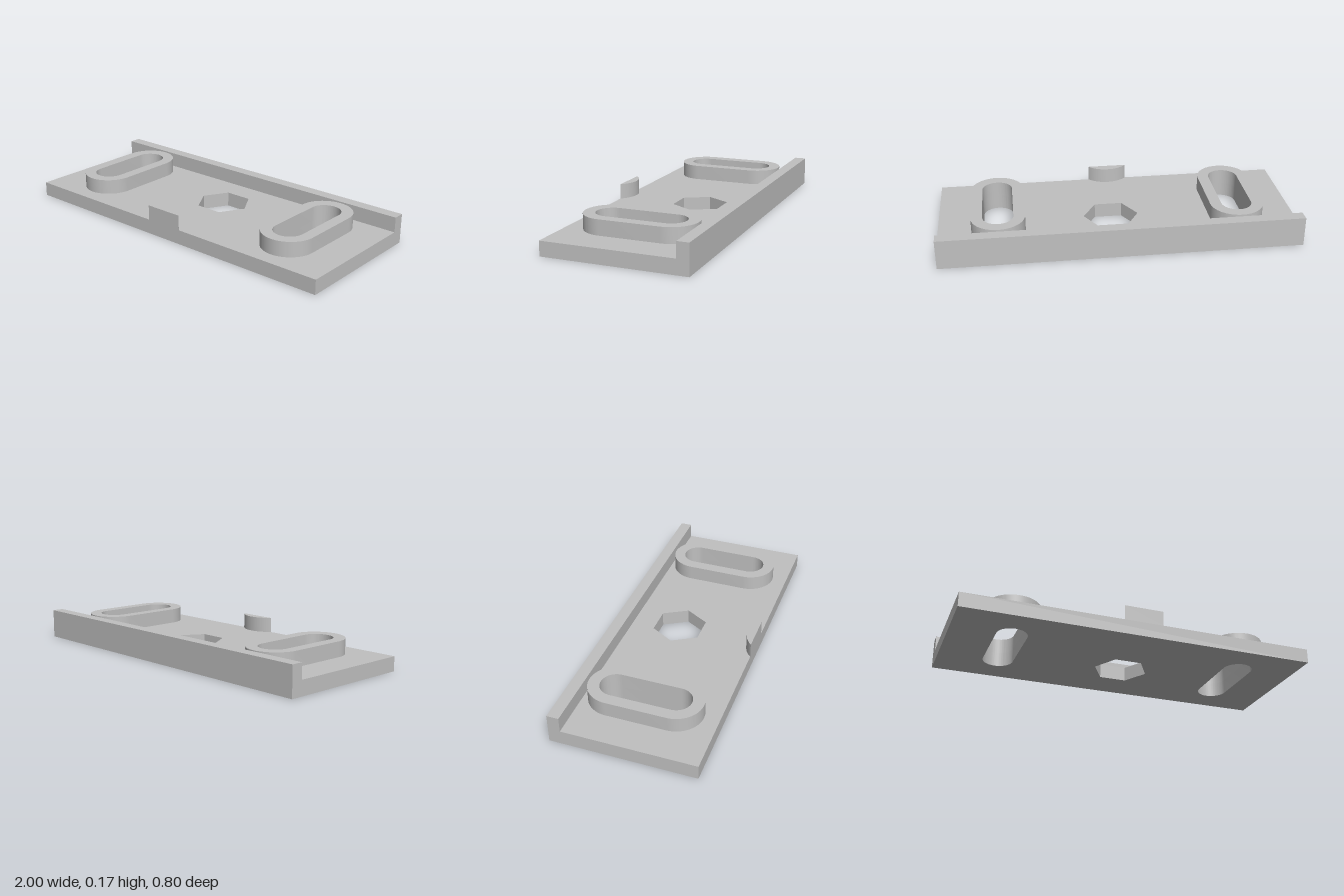
import * as THREE from 'three';
import { toCreasedNormals } from 'three/addons/utils/BufferGeometryUtils.js';

const BASE = 0.082, TOP = 0.167; // plate and raised-part heights
const SLOT_X = 0.667, SLOT_HALF = 0.167;

// Stadium outline along the shape's y axis
function stadium(target, x, r) {
  target.moveTo(x + r, -SLOT_HALF);
  target.lineTo(x + r, SLOT_HALF);
  target.absarc(x, SLOT_HALF, r, 0, Math.PI, false);
  target.lineTo(x - r, -SLOT_HALF);
  target.absarc(x, -SLOT_HALF, r, Math.PI, Math.PI * 2, false);
  return target;
}

// Extrude a plan outline (x, -z) upwards from y0 to y1
function slab(name, shape, y0, y1, material) {
  const geo = new THREE.ExtrudeGeometry(shape, { depth: y1 - y0, bevelEnabled: false, curveSegments: 24 });
  geo.rotateX(-Math.PI / 2).translate(0, y0, 0);
  const mesh = new THREE.Mesh(toCreasedNormals(geo, 0.5), material);
  mesh.name = name;
  return mesh;
}

function rectangle(x0, y0, x1, y1) {
  return new THREE.Shape([[x0, y0], [x1, y0], [x1, y1], [x0, y1]].map(([x, y]) => new THREE.Vector2(x, y)));
}

export function createModel() {
  const group = new THREE.Group();
  group.name = 'mountingPlate';
  const grey = new THREE.MeshStandardMaterial({ color: 0xc0c0c0 });
  grey.name = 'light grey';

  // Base plate with two slots and an off-centre hexagonal hole
  const plate = rectangle(-1, -0.4, 1, 0.4);
  for (const s of [-1, 1]) plate.holes.push(stadium(new THREE.Path(), s * SLOT_X, 0.085));
  const hex = [];
  for (let i = 0; i < 6; i++) {
    const a = i * Math.PI / 3;
    hex.push(new THREE.Vector2(0.033 + 0.154 * Math.cos(a), 0.067 + 0.154 * Math.sin(a)));
  }
  plate.holes.push(new THREE.Path(hex));
  group.add(slab('basePlate', plate, 0, BASE, grey));

  // Raised collars around the slots
  for (const [s, name] of [[-1, 'rightSlotCollar'], [1, 'leftSlotCollar']]) {
    const ring = stadium(new THREE.Shape(), s * SLOT_X, 0.149);
    ring.holes.push(stadium(new THREE.Path(), s * SLOT_X, 0.085));
    group.add(slab(name, ring, BASE, TOP, grey));
  }

  // Lip along the back edge
  group.add(slab('backLip', rectangle(-1, 0.334, 1, 0.4), BASE, TOP, grey));

  // Circular-segment stop on the front edge
  const stop = new THREE.Shape();
  const half = Math.acos(0.1 / 0.15);
  stop.absarc(0, -0.5, 0.15, Math.PI / 2 - half, Math.PI / 2 + half, false);
  stop.closePath();
  group.add(slab('frontStop', stop, BASE, TOP, grey));

  return group;
}
